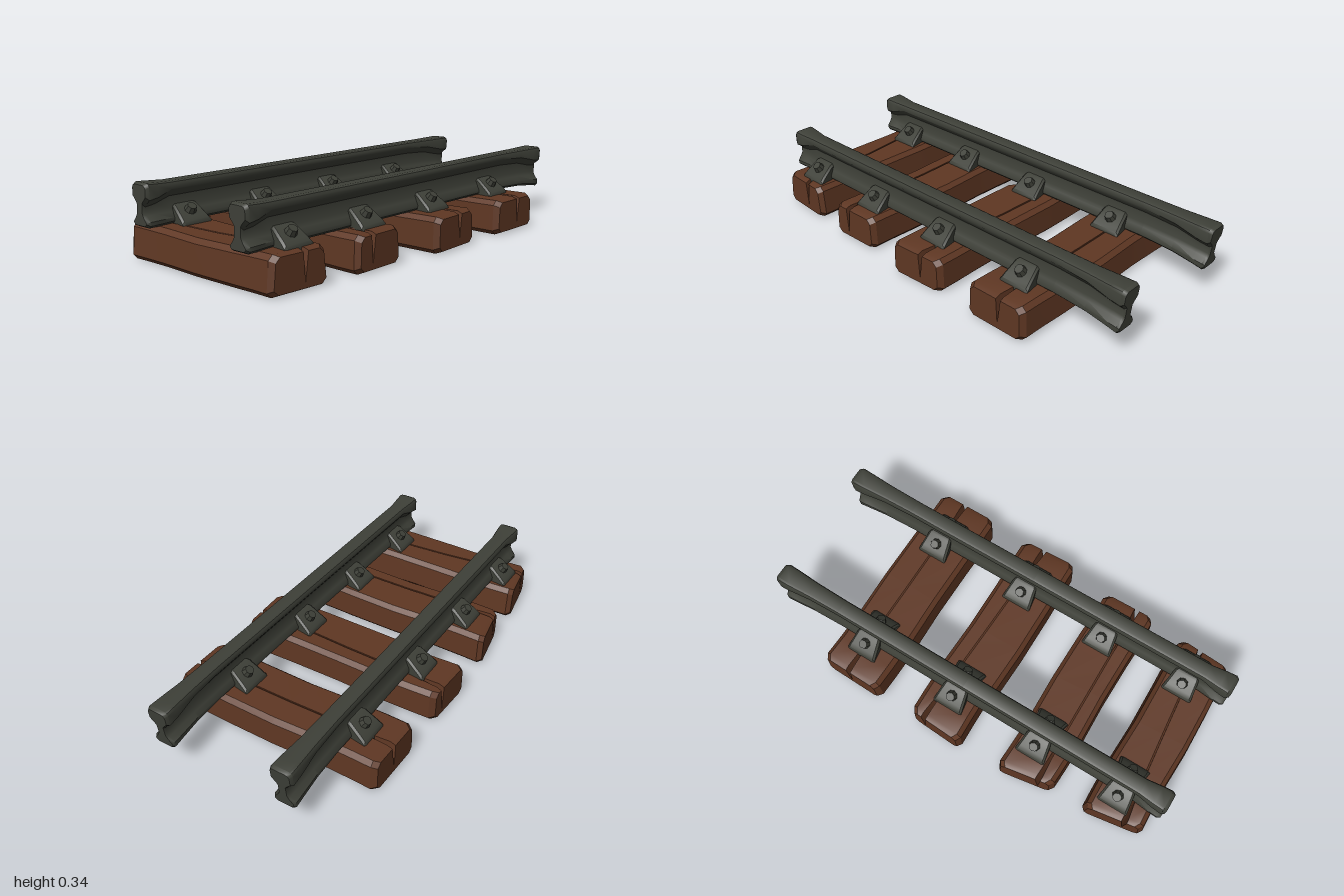
import * as THREE from 'three';
import { toCreasedNormals } from 'three/addons/utils/BufferGeometryUtils.js';

const lerp = THREE.MathUtils.lerp;

// Closed solid through rings of [x, y, z]; a and b are the axes of the ring plane,
// and each ring runs counter-clockwise about the direction of advance.
function loft(rings, a, b, crease) {
  const pos = [];
  const tri = (p, q, r) => pos.push(...p, ...q, ...r);
  const n = rings[0].length;
  for (let i = 0; i + 1 < rings.length; i++) {
    for (let j = 0; j < n; j++) {
      const k = (j + 1) % n;
      tri(rings[i][j], rings[i][k], rings[i + 1][k]);
      tri(rings[i][j], rings[i + 1][k], rings[i + 1][j]);
    }
  }
  const cap = (ring, start) => {
    const flat = ring.map((p) => new THREE.Vector2(p[a], p[b]));
    for (const [i, j, k] of THREE.ShapeUtils.triangulateShape(flat, [])) {
      const ccw = THREE.ShapeUtils.area([flat[i], flat[j], flat[k]]) > 0;
      if (ccw !== start) tri(ring[i], ring[j], ring[k]);
      else tri(ring[i], ring[k], ring[j]);
    }
  };
  cap(rings[0], true);
  cap(rings[rings.length - 1], false);
  const g = new THREE.BufferGeometry();
  g.setAttribute('position', new THREE.Float32BufferAttribute(pos, 3));
  return toCreasedNormals(g, crease);
}

// Rail: I-shaped section, flared and drooping towards the ends
function railGeometry() {
  // x, half width, top, head underside, foot top, foot bottom, lean of the end
  const stations = [
    [-1, 0.043, 0.334, 0.277, 0.19, 0.168, 0],
    [-0.985, 0.05, 0.342, 0.264, 0.196, 0.16, 0],
    [-0.94, 0.047, 0.339, 0.27, 0.196, 0.16, 0],
    [-0.87, 0.039, 0.335, 0.292, 0.195, 0.16, 0],
    [0, 0.038, 0.334, 0.294, 0.194, 0.16, 0],
    [0.66, 0.038, 0.334, 0.294, 0.192, 0.159, 0],
    [0.82, 0.041, 0.333, 0.285, 0.188, 0.152, 0],
    [0.93, 0.047, 0.333, 0.262, 0.18, 0.14, 0.005],
    [0.985, 0.049, 0.333, 0.256, 0.176, 0.133, 0.015],
    [1, 0.043, 0.327, 0.265, 0.17, 0.14, 0.02],
  ];
  const rings = stations.map(([x, h, top, head, foot, low, lean]) => {
    const half = [
      [h - 0.01, low], [h, low + 0.01], [h, foot - 0.01], [0.026, foot + 0.012],
      [0.017, foot + 0.028], [0.017, head - 0.02], [0.026, head - 0.008],
      [h, head + 0.01], [h, top - 0.015], [h - 0.005, top - 0.005], [h - 0.015, top],
    ];
    const point = (z, y) => [x - lean * (top - y) / (top - low), y, z];
    return [
      ...half.map(([z, y]) => point(-z, y)),
      ...half.slice().reverse().map(([z, y]) => point(z, y)),
    ];
  });
  return loft(rings, 1, 2, 0.6);
}

// Sleeper: chamfered beam with slanted ends and a split that opens at both ends
function sleeperGeometry(t) {
  const stations = [0, 0.025, 0.12, 0.26, 0.285, 0.5, 0.75, 0.88, 0.975, 1];
  const rings = stations.map((s, i) => {
    const inset = i === 0 || i === stations.length - 1 ? 0.016 : 0;
    const open = THREE.MathUtils.clamp((Math.abs(s - 0.5) - 0.34) / 0.14, 0, 1);
    const wave = 0.004 * Math.sin(s * 9 + t.left * 7);
    const l = t.left + inset + wave + (s < 0.27 ? t.step : 0);
    const r = t.right - inset + wave;
    const y0 = 0.005 + inset * 0.6;
    const y1 = 0.157 - inset * 0.6 + 0.006 * Math.abs(2 * s - 1);
    const k = lerp(t.split[0], t.split[1], s);
    const w = 0.004 + 0.008 * open;
    const d = 0.006 + 0.11 * open;
    const c = 0.02;
    const lean = t.lean;
    return [
      [l + c - lean, y0], [r - c + lean, y0], [r + lean, y0 + c], [r, y1 - c], [r - c, y1],
      [k + w, y1], [k - 0.004, y1 - d], [k - w, y1],
      [l + c, y1], [l, y1 - c], [l - lean, y0 + c],
    ].map(([x, y]) => {
      const u = (x - t.left) / (t.right - t.left);
      const z = lerp(lerp(...t.back, u), lerp(...t.front, u), s);
      return [x, y, z];
    });
  });
  return loft(rings, 0, 1, 0.5);
}

// Clip: sloping plate that widens away from the rail, running out along +z
function clipGeometry() {
  const rings = [
    [0.012, 0.054, 0.236], [0.03, 0.06, 0.233], [0.088, 0.07, 0.19],
    [0.104, 0.073, 0.176], [0.11, 0.07, 0.165],
  ].map(([z, w, top]) => [
    [-w, 0.145, z], [w, 0.145, z], [w, top - 0.01, z], [w - 0.01, top, z],
    [-w + 0.01, top, z], [-w, top - 0.01, z],
  ]);
  return loft(rings, 0, 1, 0.5);
}

export function createModel() {
  const model = new THREE.Group();
  const iron = new THREE.MeshStandardMaterial({ color: 0x3e4038 });
  iron.name = 'darkIron';
  const wood = new THREE.MeshStandardMaterial({ color: 0x5f3723 });
  wood.name = 'brownWood';
  const add = (parent, name, geometry, material) => {
    const mesh = new THREE.Mesh(geometry, material);
    mesh.name = name;
    parent.add(mesh);
    return mesh;
  };

  // Sleepers: back and front give the end z at the left and right edges
  const sleepers = [
    { left: -0.96, right: -0.70, back: [-0.42, -0.462], front: [0.425, 0.442], split: [-0.88, -0.80], step: 0, lean: 0.01 },
    { left: -0.54, right: -0.285, back: [-0.46, -0.503], front: [0.462, 0.458], split: [-0.47, -0.455], step: 0, lean: 0.004 },
    { left: -0.10, right: 0.178, back: [-0.512, -0.498], front: [0.505, 0.492], split: [0.11, 0.072], step: 0.022, lean: 0.003 },
    { left: 0.362, right: 0.655, back: [-0.503, -0.497], front: [0.503, 0.503], split: [0.522, 0.526], step: 0, lean: 0.004 },
  ];
  sleepers.forEach((t) => add(model, 'sleeper', sleeperGeometry(t), wood));

  // Rails, each with a bolted clip on both sides at every sleeper
  const rail = railGeometry();
  const clip = clipGeometry();
  const bolt = toCreasedNormals(new THREE.CylinderGeometry(0.02, 0.028, 0.034, 8), 0.5);
  for (const z of [-0.295, 0.295]) {
    add(model, z > 0 ? 'frontRail' : 'backRail', rail, iron).position.z = z;
    for (const x of [-0.80, -0.385, 0.045, 0.515]) {
      for (const turn of [0, Math.PI]) {
        const fastener = new THREE.Group();
        fastener.name = 'railFastener';
        fastener.position.set(x, 0, z);
        fastener.rotation.y = turn;
        add(fastener, 'clip', clip, iron);
        const head = add(fastener, 'bolt', bolt, iron);
        head.position.set(0, 0.216, 0.066);
        head.rotation.x = 0.62;
        model.add(fastener);
      }
    }
  }
  return model;
}
